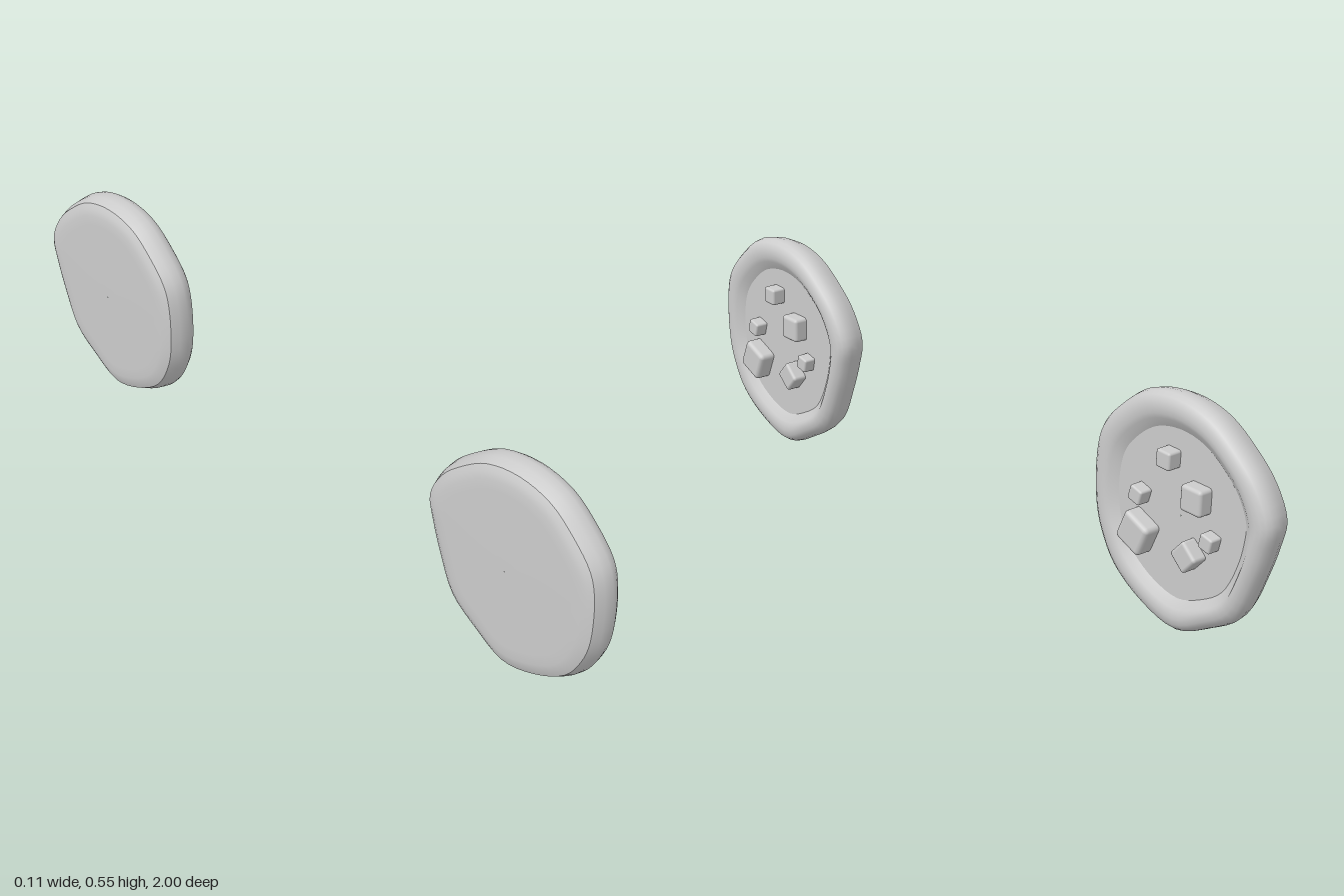
import * as THREE from 'three';
import { toCreasedNormals } from 'three/addons/utils/BufferGeometryUtils.js';
import { RoundedBoxGeometry } from 'three/addons/geometries/RoundedBoxGeometry.js';

const SPACING = 0.733; // each cookie's distance from the middle
const CENTRE_Y = 0.278;

// Wobbly outline as [z, y] about the cookie's centre
const OUTLINE = [
  [0.016, 0.277], [-0.085, 0.256], [-0.165, 0.204], [-0.23, 0.14], [-0.267, 0.062],
  [-0.254, -0.005], [-0.226, -0.085], [-0.176, -0.185], [-0.095, -0.238], [0, -0.277],
  [0.105, -0.25], [0.2, -0.188], [0.246, -0.115], [0.266, -0.045], [0.266, 0.08],
  [0.247, 0.145], [0.19, 0.208], [0.115, 0.26],
];

// Cross-section from back to front: [x, inset from the edge, blend to a circle]
const PROFILE = [
  [-0.055, 1, 0], [-0.055, 0.07, 0.1], [-0.0545, 0.045, 0], [-0.051, 0.028, 0], [-0.044, 0.014, 0],
  [-0.022, 0.004, 0], [0, 0, 0], [0.014, 0.003, 0], [0.024, 0.01, 0], [0.031, 0.021, 0],
  [0.033, 0.034, 0.1], [0.032, 0.045, 0.3], [0.028, 0.053, 0.5],
  [0.014, 0.073, 0.55], [0.014, 1, 1],
];

// Chips: [z, y, size, top x, turn]
const CHIPS = [
  [0.028, 0.13, 0.042, 0.049, 0.05],
  [-0.058, 0.062, 0.062, 0.049, 0.03],
  [0.114, 0.019, 0.037, 0.046, 0.3],
  [0.113, -0.07, 0.079, 0.055, 0.42],
  [-0.042, -0.075, 0.056, 0.05, 0.75],
  [-0.101, -0.024, 0.036, 0.044, 0.25],
];

function bodyGeometry() {
  const segments = 72;
  const curve = new THREE.CatmullRomCurve3(OUTLINE.map(([z, y]) => new THREE.Vector3(0, y, z)), true);
  const edge = curve.getPoints(segments).slice(0, segments);
  const positions = [];
  const indices = [];
  PROFILE.forEach(([x, inset, round], i) => {
    for (let j = 0; j < segments; j++) {
      const radius = edge[j].length();
      const r = Math.max(0.001, THREE.MathUtils.lerp(radius, 0.266, round) - inset);
      positions.push(x, (edge[j].y / radius) * r, (edge[j].z / radius) * r);
      if (i === 0) continue;
      const next = (j + 1) % segments;
      const a = (i - 1) * segments + j, b = (i - 1) * segments + next;
      const c = i * segments + j, d = i * segments + next;
      indices.push(a, c, b, b, c, d);
    }
  });
  const geometry = new THREE.BufferGeometry();
  geometry.setAttribute('position', new THREE.Float32BufferAttribute(positions, 3));
  geometry.setIndex(indices);
  return toCreasedNormals(geometry, 0.58);
}

export function createModel() {
  const material = new THREE.MeshStandardMaterial({ color: 0xcccccc });
  const model = new THREE.Group();
  model.name = 'cookiePair';
  const body = bodyGeometry();

  for (const side of [1, -1]) {
    const cookie = new THREE.Group();
    cookie.name = side > 0 ? 'frontCookie' : 'backCookie';
    cookie.position.set(0, CENTRE_Y, side * SPACING);

    const dish = new THREE.Mesh(body, material);
    dish.name = 'dishedBody';
    cookie.add(dish);

    // Rounded chips sunk slightly into the dish floor
    CHIPS.forEach(([z, y, size, top, turn], i) => {
      const depth = top - 0.005;
      const chip = new THREE.Mesh(new RoundedBoxGeometry(depth, size, size, 2, size * 0.14), material);
      chip.name = `chip${i + 1}`;
      chip.position.set(top - depth / 2, y, z);
      chip.rotation.x = -turn;
      cookie.add(chip);
    });
    model.add(cookie);
  }
  return model;
}
